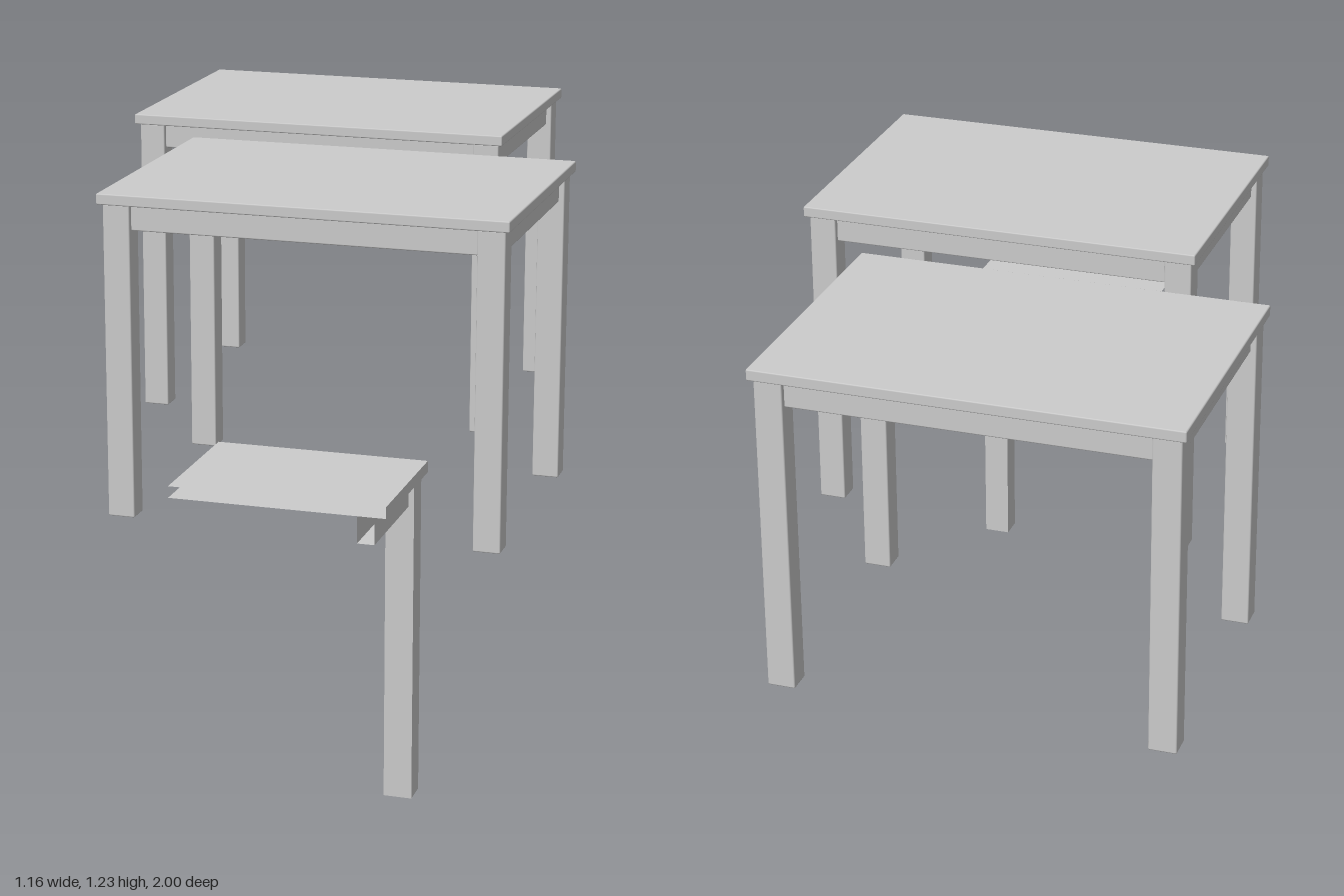
import * as THREE from 'three';
import { RoundedBoxGeometry } from 'three/addons/geometries/RoundedBoxGeometry.js';

// Shared table dimensions
const W = 0.93, D = 0.645, H = 0.744;
const TOP = 0.025, APRON_H = 0.058, APRON_T = 0.037;
const LEG_W = 0.062, LEG_D = 0.056, LIP = 0.011;
const LEG_X = W / 2 - LIP - LEG_W / 2, LEG_Z = D / 2 - LIP - LEG_D / 2;
const LEG_H = H - TOP, APRON_Y = LEG_H - APRON_H / 2;

const solid = new THREE.MeshStandardMaterial({ color: 0xcccccc });
const shell = new THREE.MeshStandardMaterial({ color: 0xcccccc, side: THREE.DoubleSide });

function add(group, name, geometry, material, x, y, z) {
  const mesh = new THREE.Mesh(geometry, material);
  mesh.name = name;
  mesh.position.set(x, y, z);
  group.add(mesh);
}

// Box with some sides left out (0..5 = +x, -x, +y, -y, +z, -z)
function openBox(w, h, d, omit = []) {
  const geometry = new THREE.BoxGeometry(w, h, d);
  const index = Array.from(geometry.index.array);
  geometry.setIndex(index.filter((_, i) => !omit.includes(Math.floor(i / 6))));
  geometry.clearGroups();
  return geometry;
}

const softBox = (w, h, d) => new RoundedBoxGeometry(w, h, d, 1, 0.003);

// Complete table with softened edges
function fullTable(name) {
  const table = new THREE.Group();
  table.name = name;
  add(table, 'tableTop', softBox(W, TOP, D), solid, 0, H - TOP / 2, 0);
  for (const s of [-1, 1]) {
    for (const t of [-1, 1]) {
      add(table, 'leg', softBox(LEG_W, LEG_H, LEG_D), solid, s * LEG_X, LEG_H / 2, t * LEG_Z);
    }
    add(table, 'longApron', softBox(2 * LEG_X - LEG_W, APRON_H, APRON_T), solid, 0, APRON_Y, s * LEG_Z);
    add(table, 'shortApron', softBox(APRON_T, APRON_H, 2 * LEG_Z - LEG_D), solid, s * LEG_X, APRON_Y, 0);
  }
  return table;
}

// One corner of the same table: hollow and open along the two cuts
function quarterTable(name) {
  const table = new THREE.Group();
  table.name = name;
  const runX = LEG_X - LEG_W / 2, runZ = LEG_Z - LEG_D / 2;
  add(table, 'tableTop', openBox(W / 2, TOP, D / 2, [1, 4]), shell, W / 4, H - TOP / 2, -D / 4);
  add(table, 'leg', openBox(LEG_W, LEG_H, LEG_D), shell, LEG_X, LEG_H / 2, -LEG_Z);
  add(table, 'longApron', openBox(runX, APRON_H, APRON_T, [1]), shell, runX / 2, APRON_Y, -LEG_Z);
  add(table, 'shortApron', openBox(APRON_T, APRON_H, runZ, [4]), shell, LEG_X, APRON_Y, -runZ / 2);
  return table;
}

export function createModel() {
  const model = new THREE.Group();
  model.name = 'tableStages';

  const back = fullTable('backTable');
  back.position.set(-0.116, 0.487, -0.678);
  const middle = fullTable('middleTable');
  middle.position.set(0.111, 0.485, 0.18);
  const quarter = quarterTable('quarterTable');
  quarter.position.set(-0.015, 0, 1);

  model.add(back, middle, quarter);
  return model;
}
